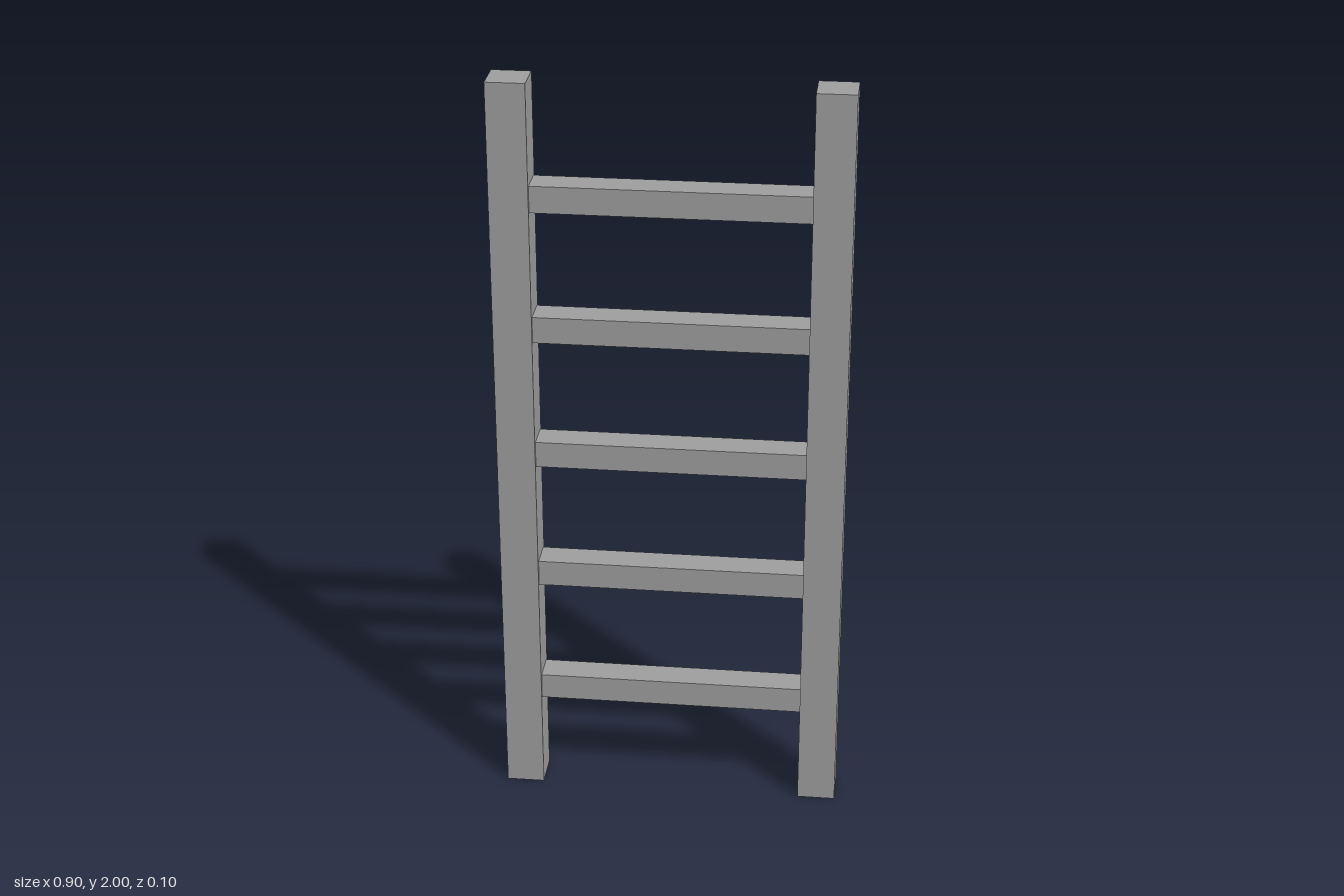
import * as THREE from 'three';

export function createModel() {
  const ladder = new THREE.Group();
  ladder.name = 'ladder';
  const grey = new THREE.MeshStandardMaterial({ color: 0xa0a0a0 });
  grey.name = 'grey';

  const addBox = (name, width, height, depth, x, y) => {
    const mesh = new THREE.Mesh(new THREE.BoxGeometry(width, height, depth), grey);
    mesh.name = name;
    mesh.position.set(x, y, 0);
    ladder.add(mesh);
  };

  // Two square upright rails
  addBox('leftRail', 0.1, 2, 0.1, 0.4, 1);
  addBox('rightRail', 0.1, 2, 0.1, -0.4, 1);

  // Five evenly spaced rungs between the rails
  for (let i = 0; i < 5; i++) {
    addBox(`rung${i + 1}`, 0.7, 0.07, 0.08, 0, 0.3 + i * 0.35);
  }
  return ladder;
}
